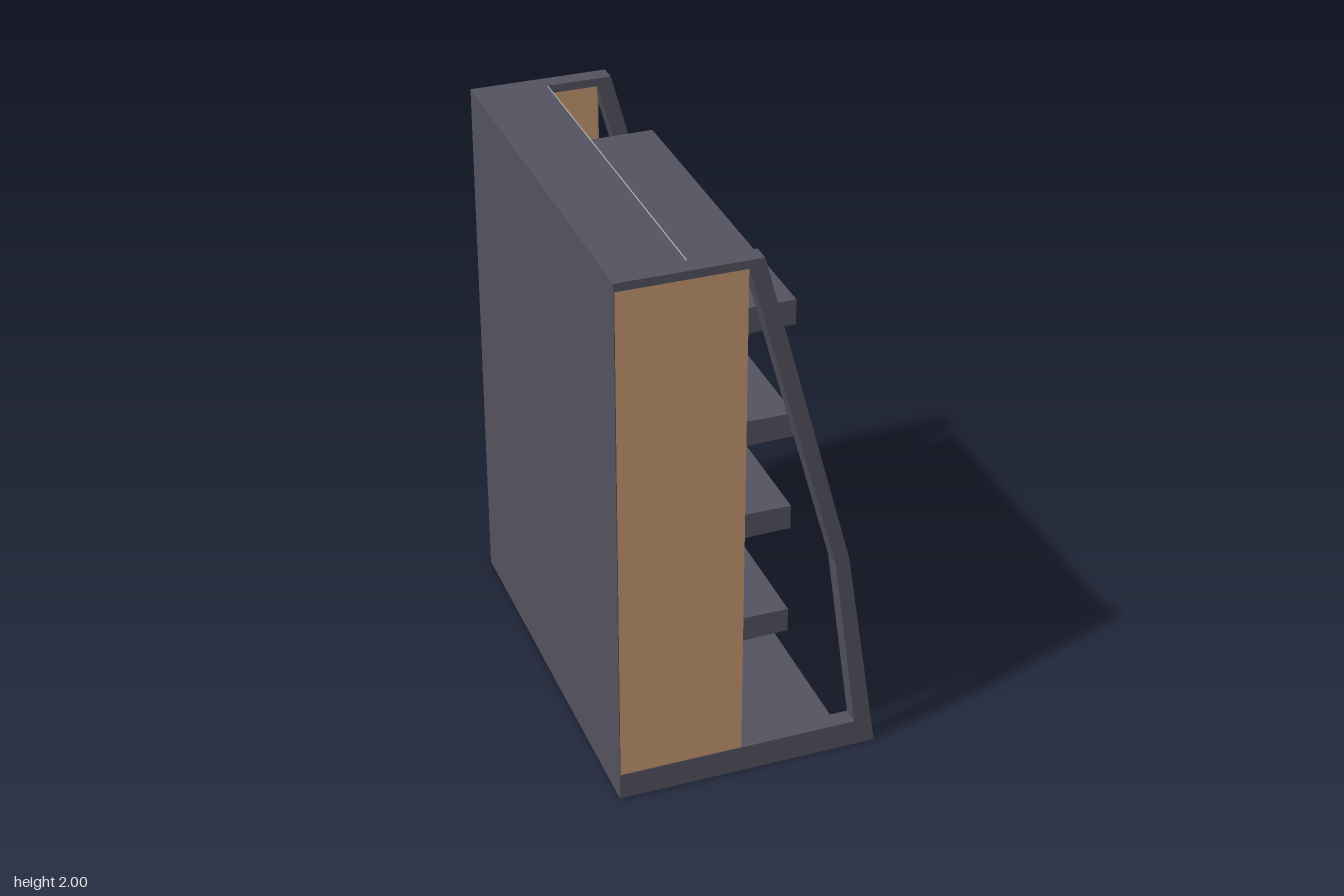
import * as THREE from 'three';

const slate = new THREE.MeshStandardMaterial({ color: 0x54525f });
slate.name = 'slate frame';
const wood = new THREE.MeshStandardMaterial({ color: 0xc4966f });
wood.name = 'wood';
const grey = new THREE.MeshStandardMaterial({ color: 0xa8b0b1 });
grey.name = 'pale grey';

const HALF = 0.765; // half length along z
const INNER = 0.7; // inner face of the side frames
const SIDE = HALF - INNER;
const BACK = -0.475;

// Box given by its lower and upper corners
function box(name, mat, [x0, y0, z0], [x1, y1, z1]) {
  const geo = new THREE.BoxGeometry(x1 - x0, y1 - y0, z1 - z0);
  geo.translate((x0 + x1) / 2, (y0 + y1) / 2, (z0 + z1) / 2);
  const mesh = new THREE.Mesh(geo, mat);
  mesh.name = name;
  return mesh;
}

function extrude(name, mat, points, depth) {
  const shape = new THREE.Shape(points.map(([x, y]) => new THREE.Vector2(x, y)));
  const geo = new THREE.ExtrudeGeometry(shape, { depth, bevelEnabled: false });
  const mesh = new THREE.Mesh(geo, mat);
  mesh.name = name;
  return mesh;
}

// Shelf board with a curved bracket under each end
function makeShelf(top) {
  const shelf = new THREE.Group();
  shelf.name = 'shelf';
  shelf.position.set(0, top, 0.01);
  shelf.add(box('shelfBoard', slate, [-0.21, -0.035, -0.675], [0.165, 0, 0.675]));
  const profile = [
    [-0.21, -0.034], [-0.21, -0.145], [-0.17, -0.143], [-0.12, -0.13], [-0.07, -0.11],
    [-0.03, -0.098], [0.02, -0.092], [0.08, -0.09], [0.165, -0.09], [0.165, -0.034],
  ];
  for (const z of [-0.675, 0.615]) {
    const bracket = extrude('shelfBracket', slate, profile, 0.06);
    bracket.position.z = z;
    shelf.add(bracket);
  }
  return shelf;
}

export function createModel() {
  const model = new THREE.Group();
  model.name = 'displayRack';

  // Base, thick back body and its pale lining
  model.add(box('base', slate, [BACK, 0, -INNER], [0.33, 0.1, INNER]));
  model.add(box('backBody', slate, [BACK, 0.1, -INNER], [-0.215, 2, INNER]));
  model.add(box('backLining', grey, [-0.215, 0.1, -INNER], [-0.21, 1.999, INNER]));

  // Side frames with a bent sloping rail, and the wooden panels they hold
  const framePoints = [
    [BACK, 0], [0.473, 0], [0.35, 0.8], [0.022, 2], [BACK, 2], [BACK, 1.97],
    [-0.03, 1.97], [0.3, 0.79], [0.395, 0.1], [BACK, 0.1],
  ];
  // Panel plan (x, -z): the free edge is cut at a slant
  const panelPlan = [
    [BACK + 0.003, 0.002], [-0.005, 0.002], [-0.03, SIDE - 0.002], [BACK + 0.003, SIDE - 0.002],
  ].map(([x, d]) => [x, d - SIDE]);
  for (const z of [-HALF, INNER]) {
    const frame = extrude('sideFrame', slate, framePoints, SIDE);
    frame.position.z = z;
    model.add(frame);

    // After rotation the plan runs from z = 0 (inner x larger) to z = SIDE
    const plan = panelPlan.map(([x, y]) => [x, -y - SIDE]);
    const panel = extrude('sidePanel', wood, plan, 1.87);
    panel.rotation.x = -Math.PI / 2;
    panel.position.set(0, 0.1, z);
    model.add(panel);

    // Thin back edge closing the panel
    model.add(box('panelBackEdge', slate, [BACK, 0.1, z], [BACK + 0.003, 1.97, z + SIDE]));
  }

  for (const top of [0.585, 1.005, 1.365, 1.785]) model.add(makeShelf(top));
  return model;
}
